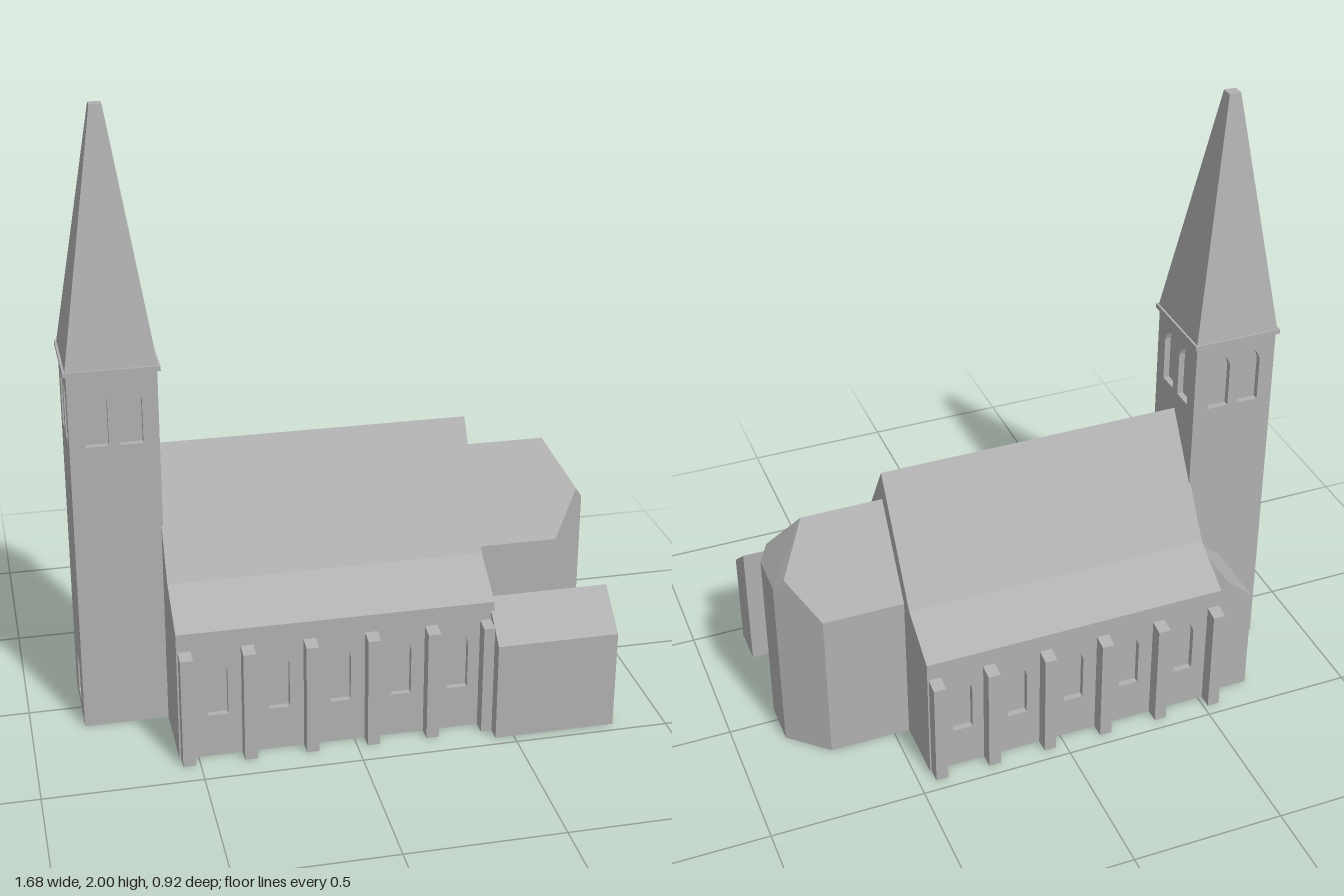
import * as THREE from 'three';
import { ConvexGeometry } from 'three/addons/geometries/ConvexGeometry.js';

const stone = new THREE.MeshStandardMaterial({ color: 0xb0b0b0 });
stone.name = 'stone';

const AXIS = -0.02;   // z of the church's long axis
const RECESS = 0.02;  // depth of window niches

export function createModel() {
  const church = new THREE.Group();
  church.name = 'church';

  const add = (name, geometry, parent = church) => {
    const mesh = new THREE.Mesh(geometry, stone);
    mesh.name = name;
    parent.add(mesh);
    return mesh;
  };

  const box = (name, x0, x1, y0, y1, z0, z1, parent) => {
    const mesh = add(name, new THREE.BoxGeometry(x1 - x0, y1 - y0, z1 - z0), parent);
    mesh.position.set((x0 + x1) / 2, (y0 + y1) / 2, (z0 + z1) / 2);
    return mesh;
  };

  const polygon = (points) => new THREE.Shape(points.map(([x, y]) => new THREE.Vector2(x, y)));

  // Cross-section of [z, y] points swept along x
  const sweepX = (name, points, x0, x1) => {
    const shape = polygon(points.map(([z, y]) => [-z, y]));
    const geometry = new THREE.ExtrudeGeometry(shape, { depth: x1 - x0, bevelEnabled: false });
    geometry.rotateY(Math.PI / 2).translate(x0, 0, 0);
    return add(name, geometry);
  };

  // Pointed-arch opening
  const lancet = ({ u, y0, y1, w }) => {
    const h = w / 2, spring = y1 - w * 0.75;
    const path = new THREE.Path();
    path.moveTo(u - h, y0);
    path.lineTo(u + h, y0);
    path.lineTo(u + h, spring);
    path.quadraticCurveTo(u + h * 0.75, y1 - w * 0.25, u, y1);
    path.quadraticCurveTo(u - h * 0.75, y1 - w * 0.25, u - h, spring);
    path.closePath();
    return path;
  };

  // Wall skin with openings; outer face lies on local z = 0
  const wall = (name, width, height, openings, parent) => {
    const h = width / 2;
    const shape = polygon([[-h, 0], [h, 0], [h, height], [-h, height]]);
    openings.forEach((o) => shape.holes.push(lancet(o)));
    const geometry = new THREE.ExtrudeGeometry(shape, { depth: RECESS, bevelEnabled: false, curveSegments: 4 });
    geometry.translate(0, 0, -RECESS);
    return add(name, geometry, parent);
  };

  // Nave body: steep roof over shallower aisle roofs
  const HALF = 0.3925, X0 = -0.56, X1 = 0.45, LIP = 0.4;
  const side = [
    [HALF - RECESS, 0], [HALF - RECESS, LIP], [HALF, LIP], [HALF, 0.44], [0.237, 0.535],
  ];
  const navePoints = [...side, [0, 0.91], ...side.slice().reverse().map(([z, y]) => [-z, y])];
  sweepX('nave', navePoints.map(([z, y]) => [z + AXIS, y]), X0, X1);

  // Aisle walls with windows, and buttresses, on both sides
  const naveMid = (X0 + X1) / 2;
  const windowXs = [-0.435, -0.24, -0.045, 0.15, 0.335];
  const buttressXs = [-0.535, -0.34, -0.143, 0.053, 0.245, 0.425];
  for (const s of [1, -1]) {
    const openings = windowXs.map((x) => ({ u: s * (x - naveMid), y0: 0.145, y1: 0.35, w: 0.065 }));
    const aisle = wall('aisleWall', X1 - X0, LIP, openings);
    aisle.position.set(naveMid, 0, AXIS + s * HALF);
    if (s < 0) aisle.rotation.y = Math.PI;
    for (const x of buttressXs) {
      const za = AXIS + s * (HALF - 0.01), zb = AXIS + s * (HALF + 0.047);
      const points = [[za, 0], [zb, 0], [zb, 0.372], [za, 0.382]];
      sweepX('buttress', points, x - 0.02, x + 0.02);
    }
  }

  // Tower: core, four pierced walls, cornice and spire
  const tower = new THREE.Group();
  tower.name = 'tower';
  tower.position.set(-0.6925, 0, AXIS + 0.002);
  church.add(tower);
  const T = 0.1375, TOP = 1.21, core = T - RECESS;
  box('towerCore', -core, core, 0, TOP, -core, core, tower);
  for (let i = 0; i < 4; i++) {
    const openings = [-0.0525, 0.0525].map((u) => ({ u, y0: 0.975, y1: 1.175, w: 0.07 }));
    if (i === 3) openings.push({ u: 0, y0: 0.04, y1: 0.2, w: 0.075 }); // west doorway
    const skin = wall('towerWall', 2 * T, TOP, openings, tower);
    const angle = i * Math.PI / 2;
    skin.rotation.y = angle;
    skin.position.set(Math.sin(angle) * T, 0, Math.cos(angle) * T);
  }
  box('cornice', -0.147, 0.147, TOP, 1.225, -0.147, 0.147, tower);
  const spire = new THREE.CylinderGeometry(0.019 * Math.SQRT2, 0.14 * Math.SQRT2, 0.775, 4, 1).toNonIndexed();
  spire.rotateY(Math.PI / 4).translate(0, 1.6125, 0);
  spire.computeVertexNormals();
  add('spire', spire, tower);

  // Choir with a three-sided apse and hipped end
  const choir = [[0.44, 0.81, 0], [0.715, 0.81, 0]];
  for (const s of [1, -1]) {
    for (const x of [0.44, 0.715]) choir.push([x, 0, s * 0.185], [x, 0.53, s * 0.185]);
    choir.push([0.807, 0.663, s * 0.1], [0.837, 0.62, s * 0.072], [0.837, 0, s * 0.072]);
  }
  add('choir', new ConvexGeometry(choir.map(([x, y, z]) => new THREE.Vector3(x, y, z + AXIS))));

  // Sacristy with a lean-to roof, and the low link to the choir
  sweepX('sacristy', [[0.335, 0], [0.465, 0], [0.465, 0.33], [0.335, 0.44]], 0.44, 0.832);
  box('sacristyLink', 0.44, 0.75, 0, 0.32, 0.15, 0.34);

  // Gabled porch in the corner behind the tower
  const porch = polygon([[-0.685, 0], [-0.505, 0], [-0.505, 0.37], [-0.595, 0.45], [-0.685, 0.37]]);
  const porchGeometry = new THREE.ExtrudeGeometry(porch, { depth: 0.27, bevelEnabled: false });
  porchGeometry.translate(0, 0, -0.395);
  add('porch', porchGeometry);

  return church;
}
